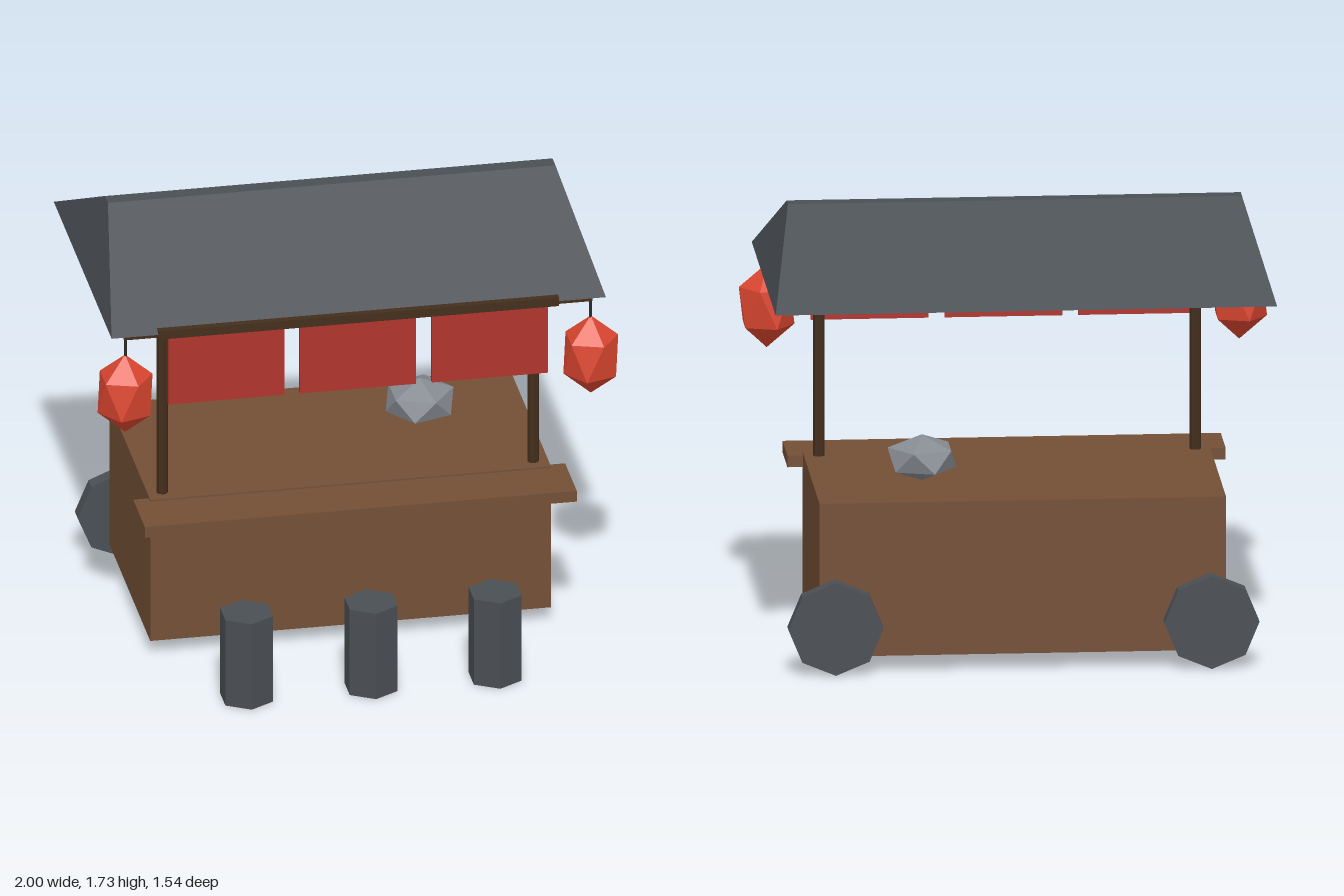
import * as THREE from 'three';

function makeMaterial(name, color) {
  const m = new THREE.MeshStandardMaterial({ color, flatShading: true });
  m.name = name;
  return m;
}

export function createModel() {
  const group = new THREE.Group();
  group.name = 'foodStall';

  const wood = makeMaterial('wood', 0x734f36);
  const darkWood = makeMaterial('darkWood', 0x432e1c);
  const slate = makeMaterial('slate', 0x4a4f54);
  const clothRed = makeMaterial('clothRed', 0xb0352d);
  const lanternRed = makeMaterial('lanternRed', 0xdb4630);
  const metal = makeMaterial('metal', 0x868b92);
  const cord = makeMaterial('cord', 0x2c2a2a);

  const add = (name, geometry, material, x, y, z) => {
    const mesh = new THREE.Mesh(geometry, material);
    mesh.name = name;
    mesh.position.set(x, y, z);
    group.add(mesh);
    return mesh;
  };

  // Box given by its limits on each axis
  const box = (name, material, [x0, x1], [y0, y1], [z0, z1]) =>
    add(name, new THREE.BoxGeometry(x1 - x0, y1 - y0, z1 - z0), material,
      (x0 + x1) / 2, (y0 + y1) / 2, (z0 + z1) / 2);

  // Icosahedron standing on one corner, with its own width and height
  const gem = (rx, ry) => new THREE.IcosahedronGeometry(1, 0)
    .rotateZ(-Math.atan(2 / (1 + Math.sqrt(5))))
    .scale(rx, ry, rx);

  // Cart body and serving counter
  box('cartBody', wood, [-0.77, 0.77], [0.062, 0.657], [-0.587, 0.246]);
  box('counter', wood, [-0.83, 0.83], [0.605, 0.65], [0.217, 0.455]);

  // Roof: flat underside, four slopes and a narrow flat ridge
  const roof = new THREE.BoxGeometry(1, 1, 1);
  const p = roof.attributes.position;
  for (let i = 0; i < p.count; i++) {
    const top = p.getY(i) > 0;
    p.setXYZ(i,
      Math.sign(p.getX(i)) * (top ? 0.86 : 0.95),
      top ? 1.73 : 1.436,
      top ? -0.17 + Math.sign(p.getZ(i)) * 0.03 : (p.getZ(i) > 0 ? 0.413 : -0.767));
  }
  roof.computeVertexNormals();
  add('roof', roof, slate, 0, 0, 0);

  // Beam along the front eave
  box('eaveBeam', darkWood, [-0.77, 0.77], [1.416, 1.451], [0.386, 0.414]);

  // Cloth panels hanging from the beam
  for (const x of [-0.508, -0.002, 0.505]) {
    box('clothPanel', clothRed, [x - 0.223, x + 0.223], [1.135, 1.42], [0.387, 0.407]);
  }

  for (const side of [-1, 1]) {
    // Roof post
    add('post', new THREE.CylinderGeometry(0.022, 0.022, 0.8, 8), darkWood, side * 0.713, 1.04, 0.187);

    // Lantern with its arm and cord
    const arm = [side * 0.76, side * 0.9].sort((a, b) => a - b);
    box('lanternArm', darkWood, arm, [1.42, 1.436], [0.388, 0.404]);
    add('lanternCord', new THREE.CylinderGeometry(0.006, 0.006, 0.09, 6), cord, side * 0.893, 1.385, 0.395);
    add('lantern', gem(0.118, 0.163), lanternRed, side * 0.895, 1.193, 0.395);

    // Wheel on the back
    const wheel = new THREE.CylinderGeometry(0.18, 0.18, 0.06, 8).rotateX(Math.PI / 2);
    add('wheel', wheel, slate, side * 0.712, 0.182, -0.617);
  }

  // Cooking pot on the cart top
  add('pot', gem(0.146, 0.089), metal, 0.355, 0.745, -0.232);

  // Stools
  for (const x of [-0.478, 0, 0.477]) {
    add('stool', new THREE.CylinderGeometry(0.106, 0.106, 0.36, 6), slate, x, 0.181, 0.662);
  }

  return group;
}
